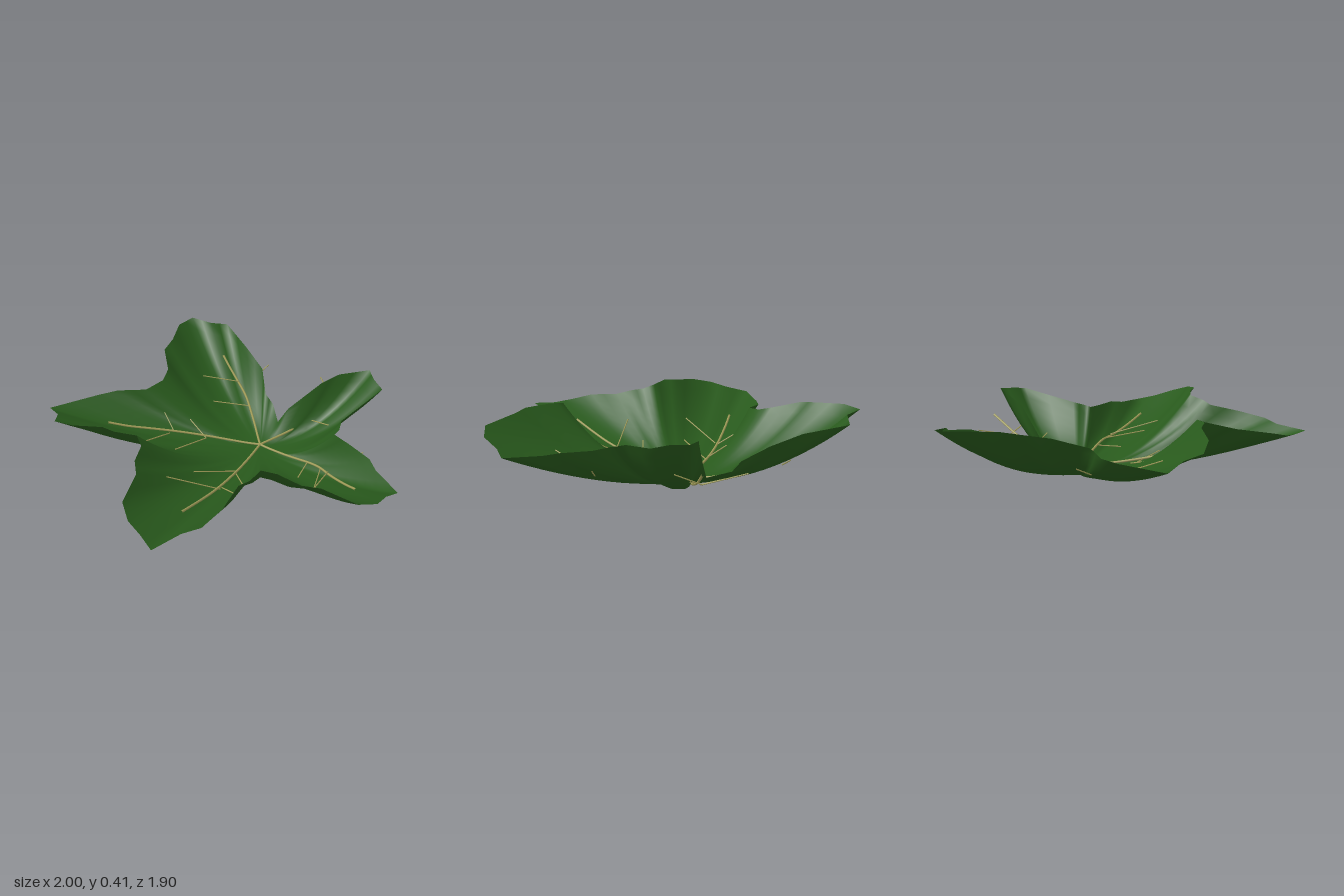
import * as THREE from 'three';

const leafGreen = new THREE.MeshStandardMaterial({ color: 0x28591c, side: THREE.DoubleSide });
leafGreen.name = 'leaf green';
const veinTan = new THREE.MeshStandardMaterial({ color: 0xa09c58 });
veinTan.name = 'vein tan';

// Point where all the lobes and ribs meet
const CX = -0.06, CY = 0.005, CZ = -0.29;

// Rim of each lobe as [x, y, z], from notch to notch
const backLobe = [
  [-0.105, 0.08, -0.49], [-0.06, 0.18, -0.53], [0.05, 0.34, -0.7], [0.1, 0.38, -0.8], [0.22, 0.405, -0.935],
  [0.3, 0.4, -0.88], [0.39, 0.385, -0.85], [0.375, 0.32, -0.51], [0.41, 0.3, -0.45],
];
const rightLobe = [
  [0.41, 0.29, -0.41], [0.52, 0.28, -0.41], [0.69, 0.28, -0.385], [0.77, 0.265, -0.345], [0.97, 0.26, -0.285],
  [0.965, 0.285, -0.19], [1, 0.325, -0.07], [0.96, 0.36, 0.04], [0.77, 0.395, 0.11], [0.69, 0.405, 0.175], [0.54, 0.41, 0.2],
];
const frontLobe = [
  [0.45, 0.4, 0.23], [0.45, 0.375, 0.31], [0.42, 0.355, 0.365], [0.47, 0.32, 0.53], [0.475, 0.29, 0.68],
  [0.42, 0.27, 0.77], [0.39, 0.25, 0.945], [0.265, 0.25, 0.91], [0.15, 0.265, 0.895], [0.04, 0.295, 0.84],
  [-0.06, 0.325, 0.66], [-0.13, 0.35, 0.61], [-0.18, 0.375, 0.52],
];
const frontSideLobe = [
  [-0.245, 0.4, 0.495], [-0.35, 0.41, 0.57], [-0.44, 0.4, 0.58], [-0.6, 0.375, 0.67], [-0.745, 0.34, 0.69],
  [-0.82, 0.315, 0.615], [-0.95, 0.28, 0.58], [-0.86, 0.28, 0.29], [-0.81, 0.285, 0.18], [-0.68, 0.3, 0.065],
];
const backSideLobe = [
  [-0.67, 0.315, -0.06], [-0.71, 0.34, -0.14], [-0.85, 0.38, -0.235], [-0.89, 0.395, -0.34], [-0.985, 0.405, -0.48],
  [-1, 0.4, -0.61], [-0.88, 0.39, -0.66], [-0.83, 0.36, -0.76], [-0.58, 0.32, -0.69], [-0.4, 0.26, -0.65],
  [-0.28, 0.17, -0.56], [-0.22, 0.12, -0.565],
];
const rim = [...backLobe, ...rightLobe, ...frontLobe, ...frontSideLobe, ...backSideLobe]
  .map(p => new THREE.Vector3(...p));

// Height at fraction t of the way to a rim point: steep rims cup more sharply
function cupHeight(rimPoint, t) {
  const slope = rimPoint.y / Math.hypot(rimPoint.x - CX, rimPoint.z - CZ);
  const power = 1.65 + 1.7 * THREE.MathUtils.clamp(slope - 0.2, 0, 0.6);
  return CY + (rimPoint.y - CY) * Math.pow(t, power);
}

// Leaf height under any x, z within the rim
function leafHeight(x, z) {
  const px = x - CX, pz = z - CZ;
  for (let i = 0; i < rim.length; i++) {
    const a = rim[i], b = rim[(i + 1) % rim.length];
    const ax = a.x - CX, az = a.z - CZ, bx = b.x - CX, bz = b.z - CZ;
    const det = ax * bz - az * bx;
    const u = (px * bz - pz * bx) / det, v = (ax * pz - az * px) / det;
    if (u >= 0 && v >= 0 && u + v > 1e-6) return cupHeight(a.clone().lerp(b, v / (u + v)), u + v);
  }
  return CY;
}

// Blade: rings growing from the centre out to the lobed rim
function makeBlade() {
  const SPLIT = 2, RINGS = 14;
  const outline = [];
  rim.forEach((p, i) => {
    for (let k = 0; k < SPLIT; k++) outline.push(p.clone().lerp(rim[(i + 1) % rim.length], k / SPLIT));
  });
  const n = outline.length;
  const positions = [CX, CY, CZ], index = [];
  for (let r = 1; r <= RINGS; r++) {
    const t = r / RINGS;
    for (const p of outline) positions.push(CX + (p.x - CX) * t, cupHeight(p, t), CZ + (p.z - CZ) * t);
  }
  for (let i = 0; i < n; i++) {
    const j = (i + 1) % n;
    index.push(0, 1 + j, 1 + i);
    for (let r = 0; r < RINGS - 1; r++) {
      const a = 1 + r * n + i, b = 1 + r * n + j;
      index.push(a, b, a + n, b, b + n, a + n);
    }
  }
  const geometry = new THREE.BufferGeometry();
  geometry.setAttribute('position', new THREE.Float32BufferAttribute(positions, 3));
  geometry.setIndex(index);
  geometry.computeVertexNormals();
  const blade = new THREE.Mesh(geometry, leafGreen);
  blade.name = 'leafBlade';
  return blade;
}

function makeVein(points, radius, name) {
  const curve = new THREE.CatmullRomCurve3(points);
  const vein = new THREE.Mesh(new THREE.TubeGeometry(curve, 24, radius, 6), veinTan);
  vein.name = name;
  return vein;
}

// Rib following the blade through [x, z] points, lifted from one clearance to another
function makeRib(path, startLift, endLift) {
  const flat = new THREE.CatmullRomCurve3(path.map(([x, z]) => new THREE.Vector3(x, 0, z)));
  const points = flat.getPoints(12).map((p, i) =>
    p.setY(leafHeight(p.x, p.z) + THREE.MathUtils.lerp(startLift, endLift, i / 12)));
  return makeVein(points, 0.007, 'mainRib');
}

// Straight side vein from a rib out to the blade
function makeSideVein([[x0, z0], [x1, z1]]) {
  const start = new THREE.Vector3(x0, leafHeight(x0, z0) + 0.02, z0);
  const end = new THREE.Vector3(x1, leafHeight(x1, z1) + 0.004, z1);
  return makeVein([start, end], 0.0035, 'sideVein');
}

export function createModel() {
  const leaf = new THREE.Group();
  leaf.name = 'leaf';
  leaf.add(makeBlade());

  // Main ribs, one along each lobe
  leaf.add(
    makeRib([[CX, CZ], [0.05, -0.01], [0.13, 0.22], [0.23, 0.6]], 0.03, 0.05),
    makeRib([[CX, CZ], [-0.25, -0.15], [-0.42, 0.01], [-0.7, 0.35]], 0.03, 0.02),
    makeRib([[CX, CZ], [-0.26, -0.43], [-0.46, -0.54], [-0.7, -0.6]], 0.03, 0.008),
    makeRib([[CX, CZ], [0.12, -0.31], [0.4, -0.31], [0.75, -0.205]], 0.03, 0.012),
  );

  // Thin side veins branching off the ribs
  const sideVeins = [
    [[0.05, 0.0], [-0.06, 0.25]], [[0.13, 0.22], [-0.05, 0.46]],
    [[0.06, 0.03], [0.21, 0.12]], [[0.12, 0.2], [0.29, 0.25]],
    [[-0.31, -0.08], [-0.45, -0.08]], [[-0.31, -0.08], [-0.3, 0.18]],
    [[-0.45, 0.05], [-0.57, 0.02]], [[-0.46, 0.08], [-0.4, 0.36]],
    [[-0.52, -0.56], [-0.68, -0.4]], [[-0.35, -0.48], [-0.51, -0.33]],
    [[0.3, -0.31], [0.35, -0.18]], [[0.41, -0.305], [0.54, -0.1]], [[0.47, -0.3], [0.59, -0.03]],
  ];
  sideVeins.forEach(path => leaf.add(makeSideVein(path)));

  // Back rib and loose veins that pass through or below the blade
  const free = (pts, radius, name) => leaf.add(makeVein(pts.map(p => new THREE.Vector3(...p)), radius, name));
  free([[CX, 0.035, CZ], [-0.01, 0.06, -0.49], [0.05, 0.12, -0.68], [0.155, 0.25, -0.95]], 0.007, 'backRib');
  const looseVeins = [
    [[0.08, 0.15, -0.8], [-0.13, 0.21, -0.9]], [[0.08, 0.15, -0.8], [0.22, 0.21, -0.76]],
    [[0, 0.09, -0.62], [-0.11, 0.13, -0.7]], [[0.02, 0.1, -0.62], [0.2, 0.15, -0.61]],
    [[0.48, 0.12, -0.34], [0.56, 0.2, -0.495]], [[-0.48, 0.15, -0.65], [-0.46, 0.21, -0.77]],
    [[-0.57, 0.13, 0.02], [-0.7, 0.19, -0.01]],
  ];
  looseVeins.forEach(pts => free(pts, 0.0035, 'looseVein'));
  return leaf;
}
